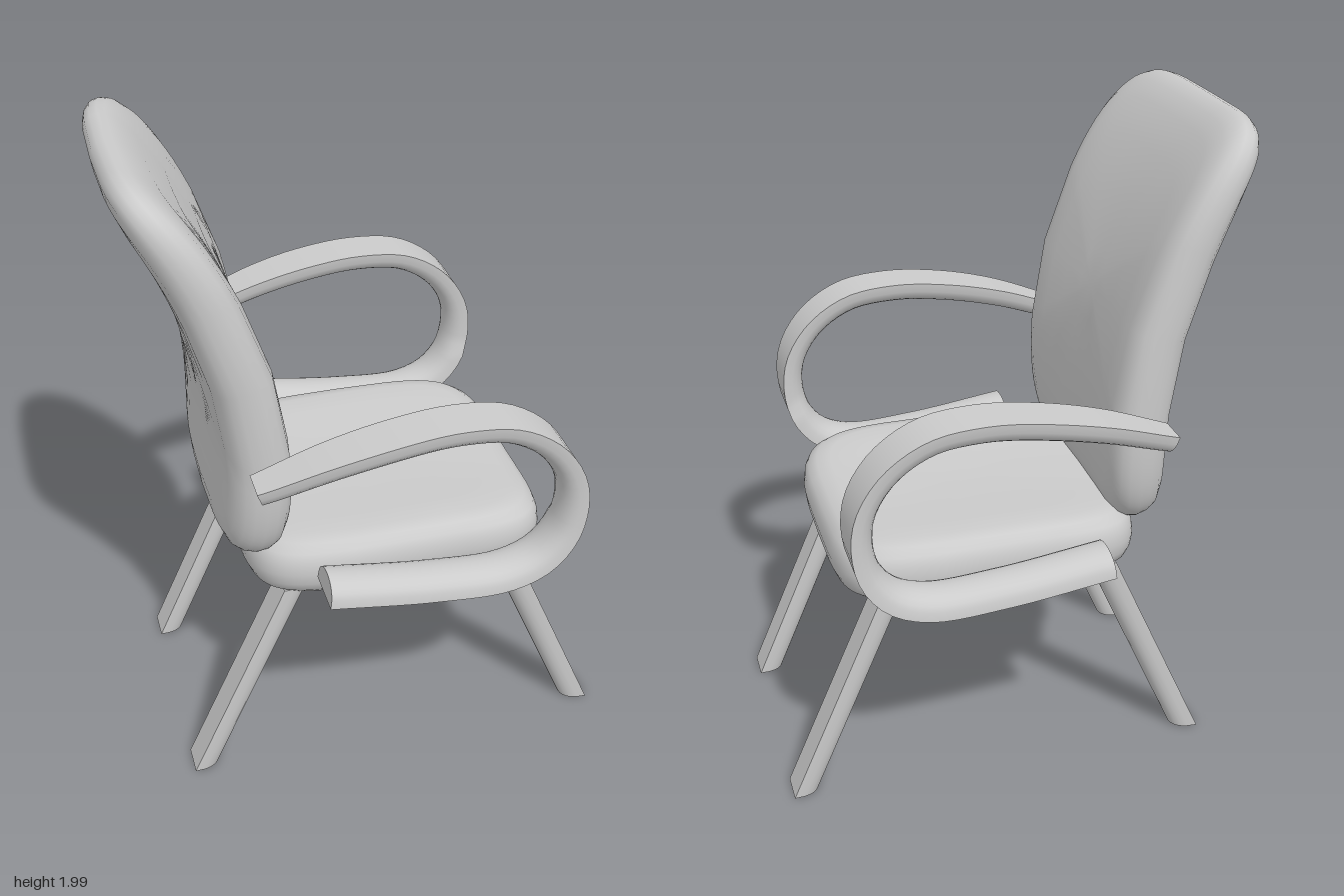
import * as THREE from 'three';
import { toCreasedNormals } from 'three/addons/utils/BufferGeometryUtils.js';

const material = new THREE.MeshStandardMaterial({ color: 0xcccccc });

// Skin a list of closed rings of Vector3 and cap both ends.
function loft(rings) {
  const n = rings[0].length, last = (rings.length - 1) * n;
  const pts = rings.flat();
  const centre = (ring) => ring.reduce((s, p) => s.add(p), new THREE.Vector3()).divideScalar(n);
  const start = pts.push(centre(rings[0])) - 1;
  const end = pts.push(centre(rings[rings.length - 1])) - 1;
  const index = [];
  for (let j = 0; j < n; j++) {
    const k = (j + 1) % n;
    for (let i = 0; i < last; i += n) {
      index.push(i + j, i + n + k, i + n + j, i + j, i + k, i + n + k);
    }
    index.push(start, k, j, end, last + j, last + k);
  }
  const geo = new THREE.BufferGeometry().setFromPoints(pts);
  geo.setIndex(index);
  geo.computeVertexNormals();
  return geo;
}

// Ring with a flat outer face and a rounded inner side; `depth` points inward.
function dRing(p, depth, zCentre, halfWidth) {
  const ring = [];
  for (let j = 0; j <= 12; j++) {
    const a = (j / 12) * Math.PI;
    const d = Math.pow(Math.max(Math.sin(a), 0), 0.7);
    ring.push(new THREE.Vector3(p.x + depth.x * d, p.y + depth.y * d, zCentre + halfWidth * Math.cos(a)));
  }
  return ring;
}

// Soft pad: rounded-rectangle outline, rounded edge, placed by place(u, v, w).
function cushion(power, place) {
  const half = [[0.15, 1], [0.4, 1], [0.65, 1], [0.82, 0.97], [0.91, 0.85], [0.965, 0.63], [0.99, 0.35]];
  const steps = [...half.map(([s, w]) => [s, -w]), [1, 0], ...half.slice().reverse()];
  const soft = (c) => Math.sign(c) * Math.pow(Math.abs(c), 2 / power);
  return loft(steps.map(([s, w]) => {
    const ring = [];
    for (let j = 0; j < 72; j++) {
      const a = (-j / 72) * Math.PI * 2;
      ring.push(place(s * soft(Math.cos(a)), s * soft(Math.sin(a)), w));
    }
    return ring;
  }));
}

const curve = (list) => new THREE.CatmullRomCurve3(list.map(([x, y]) => new THREE.Vector3(x, y, 0)));

export function createModel() {
  const model = new THREE.Group();
  const chair = new THREE.Group();
  chair.name = 'chair';
  chair.rotation.y = -0.04;
  chair.position.z = -0.01;
  model.add(chair);

  const add = (name, geo) => {
    const mesh = new THREE.Mesh(geo, material);
    mesh.name = name;
    chair.add(mesh);
  };

  // Seat pad, slightly dished across its width
  add('seat', cushion(5, (u, v, w) => new THREE.Vector3(
    0.07 + 0.47 * u,
    0.728 + 0.105 * w + 0.028 * v * v - 0.008 * u * u,
    0.45 * v * (1 - 0.02 * u * u))));

  // Backrest pad bent along a backward-leaning spine, hollow at the front
  const spine = curve([[-0.39, 0.765], [-0.372, 1], [-0.378, 1.2], [-0.41, 1.4],
    [-0.473, 1.6], [-0.565, 1.8], [-0.69, 1.99]]);
  add('backrest', cushion(5.5, (u, v, w) => {
    const t = (v + 1) / 2;
    const p = spine.getPointAt(t), d = spine.getTangentAt(t);
    const thick = (0.094 - 0.03 * t * t * t) * w + 0.028 * u * u - 0.01;
    const width = 0.46 - 0.025 * Math.pow(1 - t, 2);
    return new THREE.Vector3(p.x + d.y * thick, p.y - d.x * thick, u * width);
  }));

  // Looped armrests: outer edge path from rear tip, round the front, to the lower tip
  const armPath = curve([[-0.41, 1.165], [-0.2, 1.24], [0, 1.285], [0.17, 1.3], [0.33, 1.278],
    [0.455, 1.2], [0.53, 1.09], [0.55, 0.98], [0.525, 0.855], [0.45, 0.76], [0.33, 0.713],
    [0.1, 0.72], [-0.22, 0.762]]);
  // Legs: square-cut ends, flat face outward
  const legs = [
    ['frontLeg', [[0.425, 0.67], [0.715, 0]], -0.08],
    ['rearLeg', [[-0.61, 0], [-0.305, 0.67]], 0.08],
  ];

  for (const side of [1, -1]) {
    const label = side > 0 ? 'Left' : 'Right';
    const rings = [];
    for (let i = 0; i <= 56; i++) {
      const p = armPath.getPointAt(i / 56), t = armPath.getTangentAt(i / 56);
      const taper = p.y > 1 ? Math.min(p.x, 0) ** 2 : 0;
      const outer = 0.613 - 0.28 * taper;
      const inner = p.y < 0.9 ? 0.458 : 0.468;
      const depth = 0.072 - 0.06 * taper;
      rings.push(dRing(p, { x: t.y * depth, y: -t.x * depth },
        side * (outer + inner) / 2, (outer - inner) / 2));
    }
    add('armrest' + label, toCreasedNormals(loft(rings), 0.75));

    for (const [name, ends, depth] of legs) {
      const legRings = ends.map(([x, y]) => dRing({ x, y }, { x: depth, y: 0 }, side * 0.34, 0.049));
      add(name + label, toCreasedNormals(loft(legRings), 0.75));
    }
  }
  return model;
}
